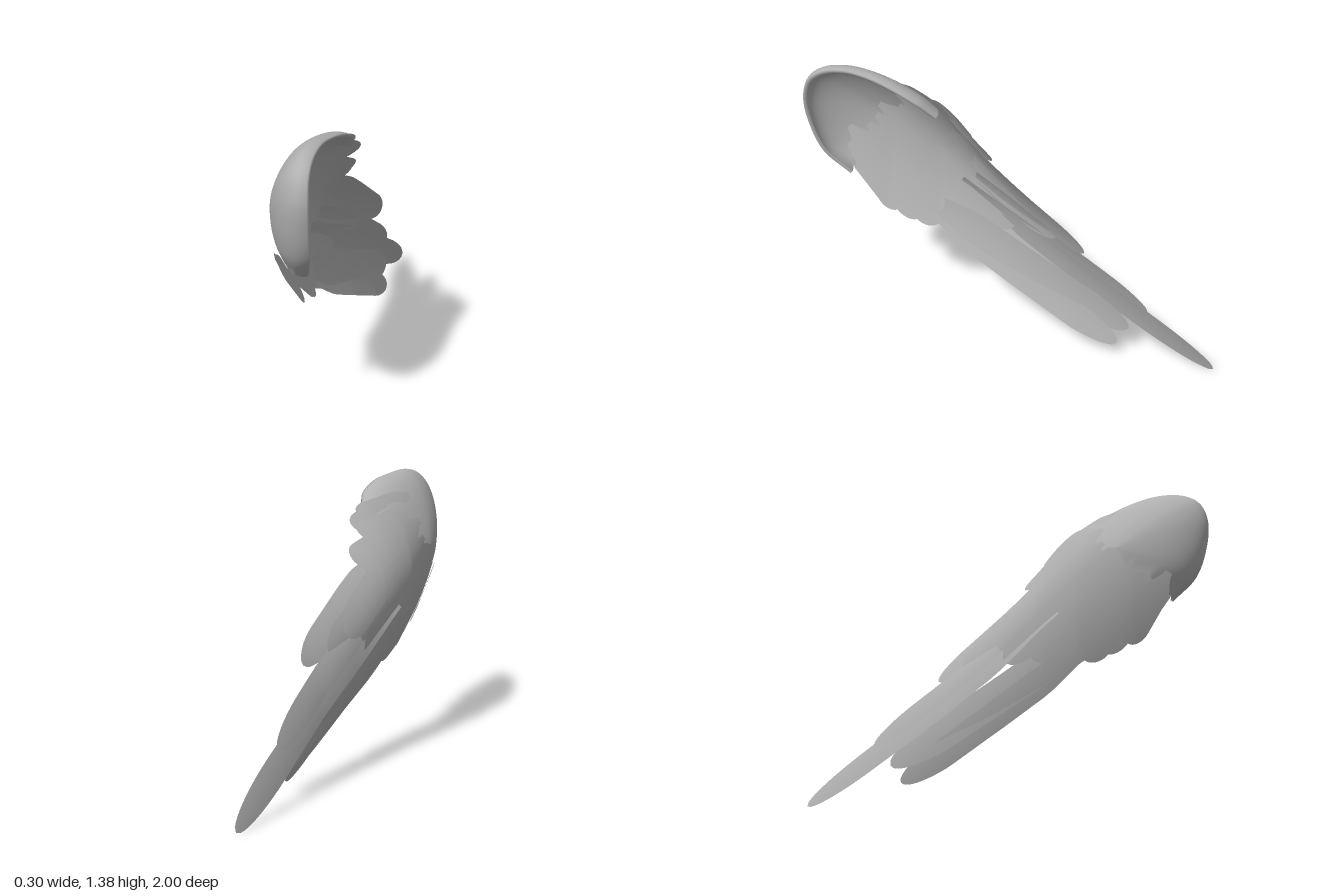
import * as THREE from 'three';

const grey = new THREE.MeshStandardMaterial({ color: 0xb0b0b0, side: THREE.DoubleSide });
grey.name = 'grey';

const { lerp, smoothstep, clamp } = THREE.MathUtils;

// Smooth grid surface from a point function of (column, row) in 0..1
function gridMesh(name, cols, rows, pointAt) {
  const pos = [], idx = [];
  for (let j = 0; j <= rows; j++)
    for (let i = 0; i <= cols; i++) pos.push(...pointAt(i / cols, j / rows));
  for (let j = 0; j < rows; j++)
    for (let i = 0; i < cols; i++) {
      const a = j * (cols + 1) + i, b = a + 1, c = a + cols + 1, d = c + 1;
      idx.push(a, c, b, b, c, d);
    }
  const geo = new THREE.BufferGeometry();
  geo.setAttribute('position', new THREE.Float32BufferAttribute(pos, 3));
  geo.setIndex(idx);
  geo.computeVertexNormals();
  const mesh = new THREE.Mesh(geo, grey);
  mesh.name = name;
  return mesh;
}

// Trough-shaped sheet on which every feather lies: x as a function of z and y
const SPINE = [[-1, 0.045], [-0.3, 0], [0, -0.045], [0.2, -0.085], [0.4, -0.12], [0.65, -0.13], [1.1, -0.1]];
function sheetX(z, y) {
  let k = 0;
  while (k < SPINE.length - 2 && z > SPINE[k + 1][0]) k++;
  const [z0, x0] = SPINE[k], [z1, x1] = SPINE[k + 1];
  const w = -0.56 * (z - 0.58) + 0.83 * (y - 1.03);
  const upperBend = lerp(0.9, 2.2, smoothstep(z, -0.6, 0.1)) - 0.6 * smoothstep(z, 0.1, 0.35);
  return lerp(x0, x1, clamp((z - z0) / (z1 - z0), 0, 1)) + (w > 0 ? upperBend : 0.8) * w * w;
}

// One feather from root to tip, both given as [z, y]; tilt lifts the tip, twist the upper edge
function feather(name, root, tip, halfWidth, offset = 0, tilt = 0, twist = 0, rootFrac = 0.3) {
  const dz = tip[0] - root[0], dy = tip[1] - root[1], len = Math.hypot(dz, dy);
  const nz = dy / len, ny = -dz / len;
  return gridMesh(name, 8, 28, (c, r) => {
    const v = c * 2 - 1, u = 1 - (1 - r) ** 1.4;
    const end = Math.max(0, (u - 0.75) / 0.25);
    const taper = Math.sqrt(Math.max(0, 1 - end * end));
    const width = halfWidth * lerp(rootFrac, 1, smoothstep(u, 0, 0.3)) * taper;
    const z = root[0] + dz * u + nz * v * width;
    const y = root[1] + dy * u + ny * v * width;
    const x = sheetX(z, y) + offset + tilt * u * u + twist * v * taper;
    return [x, Math.max(0, y), z];
  });
}

// A row of overlapping feathers between two end feathers
function featherRow(name, rootA, rootB, tipA, tipB, count, halfWidth, offset) {
  const row = new THREE.Group();
  row.name = name;
  for (let i = 0; i < count; i++) {
    const t = i / (count - 1), jitter = 0.03 * Math.sin(i * 2.4);
    const mix = (a, b) => [lerp(a[0], b[0], t) + jitter, lerp(a[1], b[1], t) + jitter * 0.62];
    row.add(feather(name + 'Feather', mix(rootA, rootB), mix(tipA, tipB), halfWidth, offset + 0.004 * (i % 2)));
  }
  return row;
}

// Domed shoulder shell: a double-walled fan from the rear edge out to a curled rim
function shoulderShell() {
  const rim = new THREE.CatmullRomCurve3([
    [0.12, 1.22, 0.35], [0.15, 1.285, 0.42], [0.145, 1.345, 0.55], [0.12, 1.372, 0.68],
    [0.11, 1.38, 0.79], [0.11, 1.36, 0.9], [0.115, 1.31, 0.97], [0.12, 1.22, 1.0],
    [0.115, 1.08, 0.985], [0.1, 0.93, 0.93], [0.06, 0.81, 0.83],
  ].map((p) => new THREE.Vector3(...p)));
  const centre = new THREE.Vector3(-0.15, 1.02, 0.61);
  const maxAngle = 1.8;
  return gridMesh('shoulderShell', 100, 72, (t, r) => {
    const inner = r > 0.5;
    const a = maxAngle * (inner ? (1 - r) * 2 : r * 2);
    const p = rim.getPoint(t);
    const s = Math.sin(a) * (inner ? 0.955 : 1);
    // Flatter dome towards the crest
    const rise = ((1 - Math.cos(a)) / (1 - Math.cos(maxAngle))) ** lerp(0.68, 0.82, smoothstep(t, 0.45, 0.9));
    // Scalloped teeth along the rear edge
    const near = smoothstep(1 - Math.min(t, 1 - t) / 0.07, 0, 1);
    const tooth = 0.04 * near * Math.abs(Math.sin(a * 4.5)) * (a < 1.4 ? 1 : 0.4);
    return [
      lerp(centre.x, p.x, rise) + (inner ? 0.018 * Math.max(0, Math.cos(a)) : 0),
      lerp(centre.y, p.y, s) - 0.6 * tooth,
      lerp(centre.z, p.z, s) - 0.8 * tooth,
    ];
  });
}

export function createModel() {
  const wing = new THREE.Group();
  wing.name = 'armouredWing';
  wing.add(shoulderShell());

  // Long flight feathers: root, tip, half width, offset, tilt, twist
  const flight = new THREE.Group();
  flight.name = 'flightFeathers';
  [
    [[0.3, 0.77], [-1, 0.01], 0.066, 0.0, 0, 0.018],
    [[0.3, 0.86], [-0.66, 0.27], 0.062, 0.008, 0, 0.014],
    [[0.5, 0.67], [-0.58, 0.17], 0.085, 0.016, 0.02, 0.008],
    [[0.45, 0.595], [-0.53, 0.085], 0.066, 0.008, 0.03, 0],
    [[0.3, 1.02], [-0.35, 0.575], 0.062, 0.004, 0.04, 0.008],
    [[0.35, 0.95], [-0.2, 0.6], 0.075, 0.0, 0.02, 0],
  ].forEach((spec) => flight.add(feather('flightFeather', ...spec, 0.45)));
  wing.add(flight);

  // Overlapping covert rows on the outer side, then the lining inside the shell
  wing.add(
    featherRow('greaterCovert', [0.32, 0.99], [0.62, 0.72], [-0.1, 0.67], [0.22, 0.51], 5, 0.075, -0.008),
    featherRow('medianCovert', [0.4, 1.12], [0.7, 0.81], [0.11, 0.97], [0.42, 0.54], 6, 0.068, -0.014),
    featherRow('lesserCovert', [0.46, 1.19], [0.8, 0.87], [0.2, 1.1], [0.58, 0.57], 7, 0.052, -0.016),
    featherRow('innerLining', [0.53, 1.24], [0.87, 0.94], [0.23, 1.13], [0.62, 0.65], 8, 0.055, 0.04),
    featherRow('innerCovert', [0.5, 1.14], [0.75, 0.88], [0.15, 0.98], [0.46, 0.55], 7, 0.065, 0.022),
    feather('crestFeather', [0.58, 1.27], [0.27, 1.2], 0.04, 0.025),
  );
  return wing;
}
